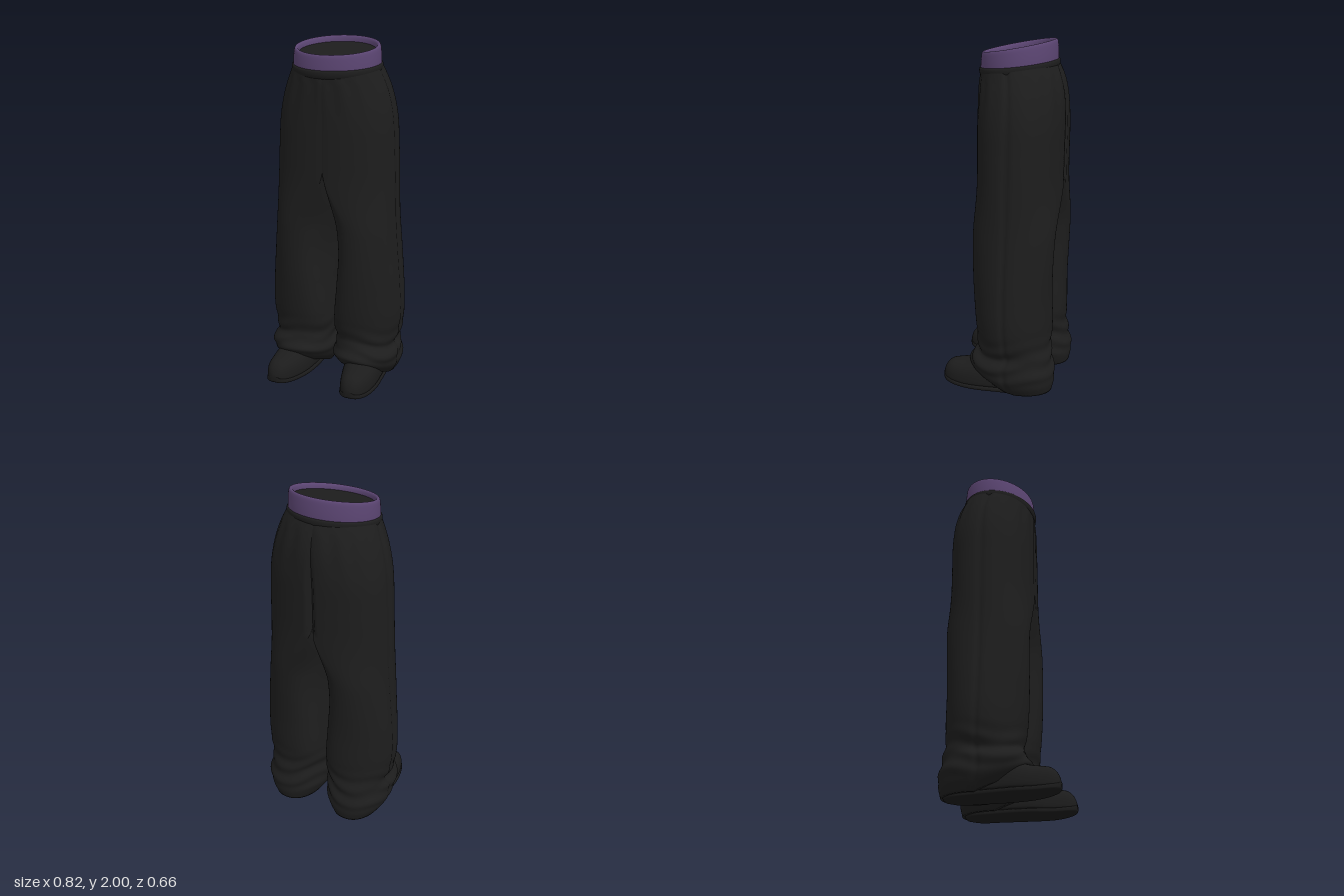
import * as THREE from 'three';

const spow = (v, p) => Math.sign(v) * Math.abs(v) ** p;
const { smoothstep, lerp } = THREE.MathUtils;

// Smooth lookup in a table of rows [key, value, value, ...]
function table(rows) {
  const size = rows[0].length - 1;
  const f = new THREE.CubicInterpolant(rows.map(r => r[0]), rows.flatMap(r => r.slice(1)), size, new Array(size));
  return k => [...f.evaluate(k)];
}

// Skin of closed rings: fn(u, angle) -> [x, y, z]; flat ends on request, mirrored in x when side is -1.
// Faces lying in the middle plane are left out, so mirrored halves join there.
function loft(rows, segs, fn, { side = 1, startCap = false, endCap = false } = {}) {
  const rings = [];
  for (let i = 0; i <= rows; i++) {
    const ring = [];
    for (let j = 0; j < segs; j++) ring.push(fn(i / rows, j / segs * Math.PI * 2));
    rings.push(ring);
  }
  const middle = ring => {
    const m = [0, 1, 2].map(k => ring.reduce((s, p) => s + p[k], 0) / segs);
    return ring.map(() => m);
  };
  if (startCap) rings.unshift(middle(rings[0]));
  if (endCap) rings.push(middle(rings[rings.length - 1]));
  const pos = [], index = [];
  for (const ring of rings) for (const p of ring) pos.push(p[0] * side, p[1], p[2]);
  for (let i = 0; i < rings.length - 1; i++) {
    for (let j = 0; j < segs; j++) {
      const a = i * segs + j, b = i * segs + (j + 1) % segs, c = a + segs, d = b + segs;
      if ([a, b, c, d].every(k => Math.abs(pos[k * 3]) < 1e-5)) continue;
      if (side > 0) index.push(a, c, b, b, c, d);
      else index.push(a, b, c, b, d, c);
    }
  }
  const g = new THREE.BufferGeometry();
  g.setAttribute('position', new THREE.Float32BufferAttribute(pos, 3));
  g.setIndex(index);
  g.computeVertexNormals();
  return g;
}

// Trouser leg: height, inner x, outer x, front z, back z
const legAt = table([
  [0.015, 0.06, 0.343, 0.10, -0.315], [0.07, 0.025, 0.378, 0.145, -0.326], [0.14, 0.004, 0.396, 0.168, -0.322],
  [0.19, 0.008, 0.392, 0.15, -0.312], [0.235, 0.018, 0.374, 0.125, -0.305], [0.3, 0.008, 0.392, 0.125, -0.298],
  [0.4, 0.01, 0.407, 0.138, -0.303],
  [0.6, 0.028, 0.402, 0.148, -0.303], [0.8, 0.043, 0.387, 0.152, -0.309], [1.0, 0.028, 0.371, 0.155, -0.317],
  [1.2, 0.004, 0.361, 0.156, -0.323], [1.4, 0, 0.352, 0.156, -0.326], [1.6, 0, 0.337, 0.156, -0.328],
  [1.72, 0, 0.311, 0.156, -0.319], [1.8, 0, 0.282, 0.154, -0.296], [1.86, 0, 0.255, 0.15, -0.266],
]);

function legPoint(u, t) {
  let y = lerp(0.015, 1.86, u);
  const [inner, outer, front, back] = legAt(y);
  const split = 1 - smoothstep(y, 0.92, 1.3);
  const gather = smoothstep(y, 1.5, 1.8);
  const power = lerp(lerp(0.86, 0.92, split), 0.96, gather);
  const c = spow(Math.cos(t), power), s = spow(Math.sin(t), power);
  const zc = (front + back) / 2, depth = (front - back) / 2;
  // half of the hips above, a full separate tube below that leans inwards at front and back
  const skew = 0.04 * s * s * smoothstep(y, 0.2, 0.4);
  const round = (inner + outer) / 2 + c * (outer - inner) / 2 - skew;
  let x = lerp(outer * Math.max(0, c), Math.max(0, round), split);
  let z = zc + s * depth;
  // crumpled cuff, gathers under the waistband, side seam
  const cuff = smoothstep(y, 0.06, 0.14) * (1 - smoothstep(y, 0.22, 0.42));
  const seam = Math.exp(-((Math.sin(t / 2) * 2 / 0.05) ** 2));
  const pleat = gather * (1 - smoothstep(y, 1.79, 1.835));
  const push = 0.006 * cuff * Math.sin(y * 60 + 3 * Math.sin(t + 1) + 1.5 * Math.sin(3 * t))
    + 0.004 * pleat * Math.sin(t * 17) * Math.abs(s) - 0.009 * seam
    + 0.003 * Math.sin(3 * t + y * 5) * smoothstep(y, 0.3, 0.6) * split;
  x += c * push * (c > 0 ? 1 : split);
  z += s * push;
  // centre seam, deeper at the back
  const crease = Math.exp(-((x / 0.009) ** 2)) * (1 - split);
  z -= s * crease * (s < 0 ? 0.022 * (1 - gather) + 0.004 : 0.004);
  // hem rises over the shoe, waist rises to the back
  y += 0.085 * Math.max(0, s) * Math.max(0, 1 - y / 0.28);
  y -= 0.024 * s * smoothstep(y, 1.65, 1.86);
  return [x, y, z];
}

// Shoe: z, half width, centre x, top height, underside height
const shoeAt = table([
  [-0.29, 0.045, 0.205, 0.10, 0.004], [-0.24, 0.085, 0.205, 0.14, 0], [-0.12, 0.10, 0.208, 0.17, 0],
  [0, 0.108, 0.212, 0.19, 0], [0.1, 0.109, 0.220, 0.178, 0], [0.18, 0.097, 0.228, 0.157, 0],
  [0.24, 0.082, 0.233, 0.147, 0.004], [0.28, 0.067, 0.235, 0.138, 0.010], [0.305, 0.050, 0.236, 0.118, 0.015],
  [0.32, 0.032, 0.236, 0.092, 0.021], [0.327, 0.012, 0.236, 0.068, 0.028],
]);

function shoePoint(u, t, grow, thick) {
  const z = lerp(0.327, -0.29, (1 - Math.cos(u * Math.PI)) / 2);
  const [w, cx, top, under] = shoeAt(z);
  const h = thick ? under + thick : top, low = under + (thick ? 0 : 0.015), mid = low + (h - low) * (thick ? 0.5 : 0.25);
  const s = Math.sin(t);
  const y = s > 0 ? mid + (h - mid) * s ** (thick ? 0.6 : 0.85) : mid - (mid - low) * (-s) ** 0.5;
  return [cx + (w + grow) * spow(Math.cos(t), thick ? 0.5 : 0.78), y, z + grow * Math.sign(z) * smoothstep(Math.abs(z), 0.15, 0.3) * 0.5];
}

// Tilted oval band around the waist from a profile of [outset, height]
function waistRing(profile, tilt) {
  const at = table(profile.map((p, i) => [i / (profile.length - 1), ...p]));
  return loft(24, 96, (u, t) => {
    const [o, y] = at(u);
    return [(0.245 + o) * Math.cos(t), y - tilt * Math.sin(t), -0.058 + (0.203 + o) * Math.sin(t)];
  });
}

export function createModel() {
  const model = new THREE.Group();
  model.name = 'trousersAndShoes';
  const material = (name, color) => new THREE.MeshStandardMaterial({ name, color });
  const fabric = material('blackFabric', 0x1d1d1d);
  const leather = material('blackShoe', 0x1c1c1c);
  const rubber = material('blackSole', 0x1a1a1a);
  const purple = material('purpleBand', 0x5b4572);
  const add = (parent, name, geometry, mat) => {
    const mesh = new THREE.Mesh(geometry, mat);
    mesh.name = name;
    parent.add(mesh);
  };

  // legs and shoes
  for (const [side, label] of [[1, 'left'], [-1, 'right']]) {
    add(model, label + 'TrouserLeg', loft(150, 144, legPoint, { side, startCap: true }), fabric);
    const shoe = new THREE.Group();
    shoe.name = label + 'Shoe';
    const closed = { side, startCap: true, endCap: true };
    add(shoe, 'upper', loft(36, 40, (u, t) => shoePoint(u, t, 0, 0), closed), leather);
    add(shoe, 'sole', loft(36, 40, (u, t) => shoePoint(u, t, 0.004, 0.034), closed), rubber);
    model.add(shoe);
  }

  // trouser waistband
  add(model, 'waistband', waistRing([[0.0, 1.822], [0.011, 1.832], [0.016, 1.852], [0.012, 1.87], [-0.01, 1.876]], 0.024), fabric);

  // purple band with a rolled rim
  add(model, 'purpleBand', waistRing([[0.008, 1.85], [0.008, 1.885], [0.006, 1.92], [0.002, 1.953], [-0.005, 1.965],
    [-0.016, 1.962], [-0.022, 1.947], [-0.025, 1.915]], 0.035), purple);

  // closed surface inside the waist opening
  add(model, 'waistLining', loft(8, 96, (u, t) => {
    const r = 1 - u;
    return [0.225 * r * Math.cos(t), 1.934 - 0.032 * r * Math.sin(t), -0.058 + 0.184 * r * Math.sin(t)];
  }), fabric);

  return model;
}
